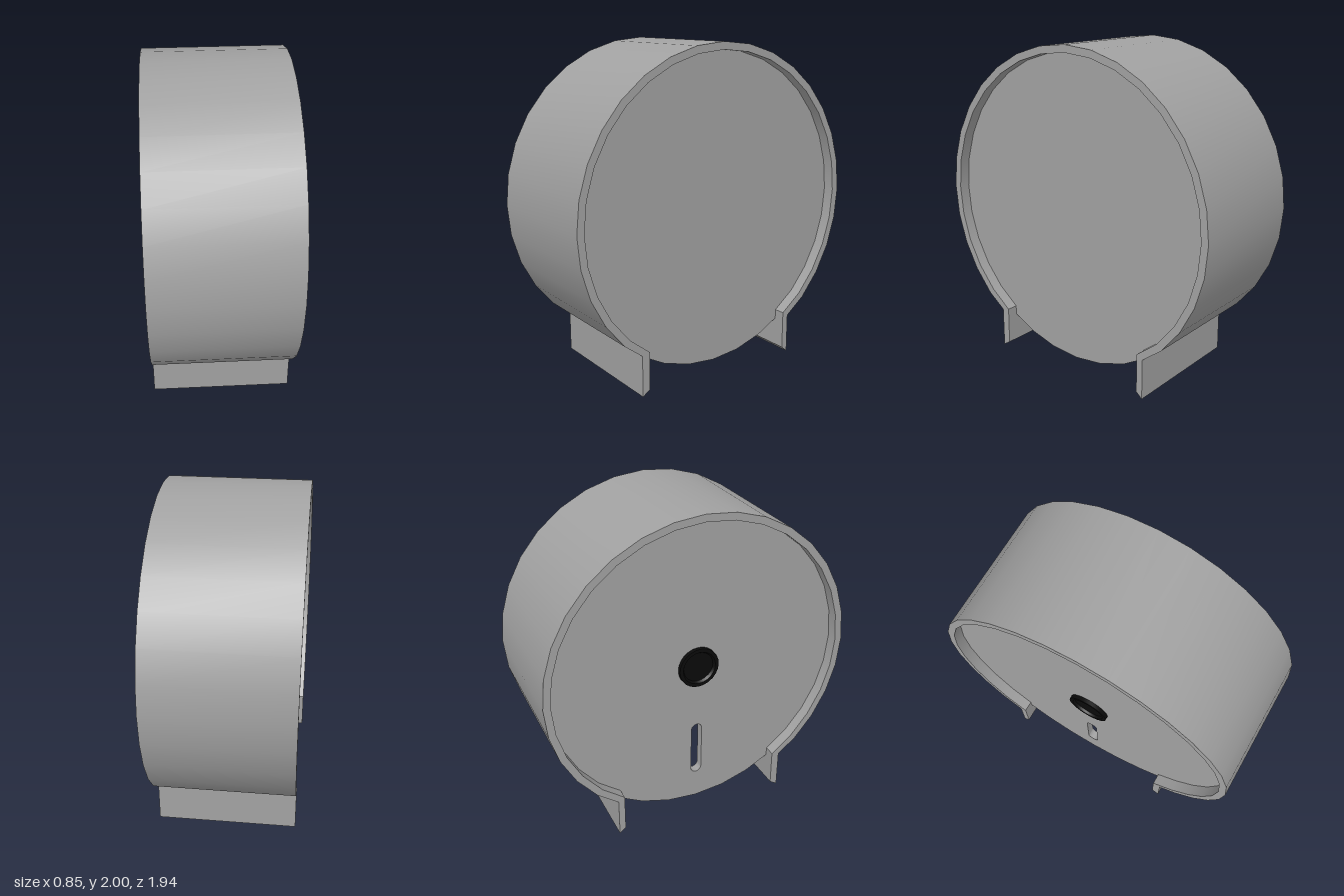
import * as THREE from 'three';
import { toCreasedNormals } from 'three/addons/utils/BufferGeometryUtils.js';

const CY = 1.032;           // height of the drum axis
const R = 0.968;            // outer radius
const R_IN = 0.923;         // inner radius of the cover
const STEP = Math.PI / 16;  // 32-sided rounds

const grey = new THREE.MeshStandardMaterial({ color: 0xa1a1a1 });
const black = new THREE.MeshStandardMaterial({ color: 0x0a0a0a });

// Point on a circle round the axis, angle measured from the top towards +z
const onCircle = (r, i) =>
  new THREE.Vector2(r * Math.sin(i * STEP), CY + r * Math.cos(i * STEP));

// Extrude a (z, y) outline along x, between x0 and x1
function extrudeX(name, shape, x0, x1) {
  const geo = new THREE.ExtrudeGeometry(shape, { depth: x1 - x0, bevelEnabled: false, curveSegments: 8 });
  geo.rotateY(-Math.PI / 2);
  geo.translate(x1, 0, 0);
  const mesh = new THREE.Mesh(toCreasedNormals(geo, 0.45), grey);
  mesh.name = name;
  return mesh;
}

// Curved cover whose ends turn down into two straight lips with slanted tips
function coverShape() {
  const pts = [];
  for (let i = -12; i <= 12; i++) pts.push(onCircle(R, i));
  pts.push(
    new THREE.Vector2(0.57, 0.26), new THREE.Vector2(0.57, 0.01),
    new THREE.Vector2(0.522, 0.04), new THREE.Vector2(0.52, 0.273)
  );
  for (let i = 12; i >= -12; i--) pts.push(onCircle(R_IN, i));
  pts.push(
    new THREE.Vector2(-0.515, 0.273), new THREE.Vector2(-0.515, 0.035),
    new THREE.Vector2(-0.555, 0.0), new THREE.Vector2(-0.555, 0.248)
  );
  return new THREE.Shape(pts);
}

// Round side plate, full size where it shows below the cover
function plateShape() {
  const pts = [];
  for (let i = -15; i <= 16; i++) pts.push(onCircle(Math.abs(i) > 12 ? R : 0.93, i));
  return new THREE.Shape(pts);
}

// Upright slot with rounded ends
function slotPath() {
  const r = 0.035, top = 0.58, bottom = 0.288;
  const path = new THREE.Path();
  path.absarc(0, top, r, 0, Math.PI, false);
  path.absarc(0, bottom, r, Math.PI, Math.PI * 2, false);
  path.closePath();
  return path;
}

export function createModel() {
  const model = new THREE.Group();
  model.name = 'rollDispenser';

  model.add(extrudeX('cover', coverShape(), -0.425, 0.425));

  // Side plates, set in from the cover's edges
  model.add(extrudeX('leftPlate', plateShape(), 0.3, 0.355));
  const slotted = plateShape();
  slotted.holes.push(slotPath());
  model.add(extrudeX('rightPlate', slotted, -0.355, -0.3));

  // Upright inner walls continuing the lips between the plates
  for (const [name, z] of [['frontInnerWall', 0.525], ['backInnerWall', -0.52]]) {
    const wall = new THREE.Mesh(new THREE.BoxGeometry(0.62, 1.52, 0.01), grey);
    wall.name = name;
    wall.position.set(0, 1.03, z);
    model.add(wall);
  }

  // Black lock with a shallow dished face
  const profile = [[0, 0], [0.127, 0], [0.127, 0.03], [0.105, 0.03], [0.095, 0.015], [0, 0.015]]
    .map(([r, h]) => new THREE.Vector2(r, h));
  const lockGeo = toCreasedNormals(new THREE.LatheGeometry(profile, 24), 0.45);
  const lock = new THREE.Mesh(lockGeo, black);
  lock.name = 'lock';
  lock.rotation.z = Math.PI / 2;
  lock.position.set(-0.35, CY, 0);
  model.add(lock);

  return model;
}
